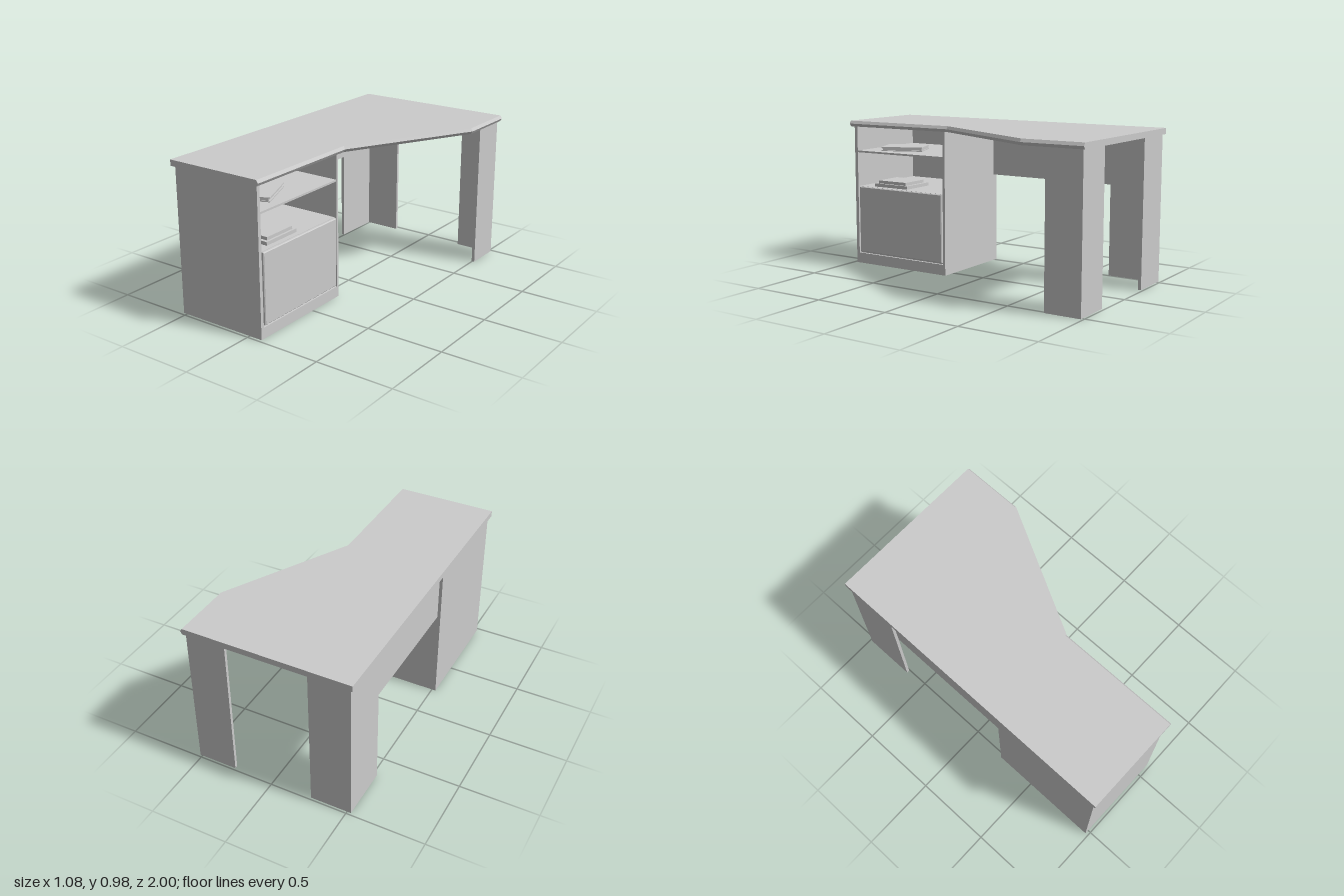
import * as THREE from 'three';

const mat = new THREE.MeshStandardMaterial({ color: 0xcccccc, side: THREE.DoubleSide });

function add(parent, name, geometry) {
  const mesh = new THREE.Mesh(geometry, mat);
  mesh.name = name;
  parent.add(mesh);
  return mesh;
}

// Box given by its limits on each axis
function slab(parent, name, [x0, x1], [y0, y1], [z0, z1]) {
  const mesh = add(parent, name, new THREE.BoxGeometry(x1 - x0, y1 - y0, z1 - z0));
  mesh.position.set((x0 + x1) / 2, (y0 + y1) / 2, (z0 + z1) / 2);
  return mesh;
}

// Worktop outline; the nose along the user's side comes to a point at mid height
function worktopGeometry(y0, y1) {
  const inset = 0.012;
  const outline = (d) => [
    [-0.542, 1], [0.117 - d, 1], [0.117 - d, 0.2 - d * 0.25],
    [0.54 - d, -0.6 - d * 0.25], [0.54 - d, -1], [-0.542, -1],
  ];
  const rings = [[y0, inset], [(y0 + y1) / 2, 0], [y1, inset]]
    .map(([y, d]) => outline(d).map(([x, z]) => [x, y, z]));
  const pos = [];
  const tri = (...points) => points.forEach((p) => pos.push(...p));
  const n = rings[0].length;
  for (let r = 0; r < 2; r++) {
    for (let i = 0; i < n; i++) {
      const j = (i + 1) % n;
      const [a, b, c, d] = [rings[r][i], rings[r][j], rings[r + 1][j], rings[r + 1][i]];
      tri(a, b, c);
      tri(a, c, d);
    }
  }
  const flat = outline(inset).map(([x, z]) => new THREE.Vector2(x, -z));
  for (const [a, b, c] of THREE.ShapeUtils.triangulateShape(flat, [])) {
    tri(rings[2][a], rings[2][b], rings[2][c]);
    tri(rings[0][a], rings[0][c], rings[0][b]);
  }
  const g = new THREE.BufferGeometry();
  g.setAttribute('position', new THREE.Float32BufferAttribute(pos, 3));
  g.computeVertexNormals();
  return g;
}

// Door leaf with a small chamfer round its face
function doorGeometry(width, height) {
  const c = 0.005;
  const s = new THREE.Shape();
  const w = width / 2 - c, h = height / 2 - c;
  s.moveTo(-w, -h).lineTo(w, -h).lineTo(w, h).lineTo(-w, h).closePath();
  return new THREE.ExtrudeGeometry(s, {
    depth: 0.012, bevelThickness: c, bevelSize: c, bevelSegments: 1,
  }).rotateY(Math.PI / 2);
}

// Flat bow handle, drawn in plan and extruded upward
function handleGeometry() {
  const s = new THREE.Shape();
  s.moveTo(-0.095, 0).lineTo(-0.055, 0.026).lineTo(0.055, 0.026).lineTo(0.095, 0);
  s.lineTo(0.08, 0).lineTo(0.05, 0.017).lineTo(-0.05, 0.017).lineTo(-0.08, 0).closePath();
  return new THREE.ExtrudeGeometry(s, { depth: 0.009, bevelEnabled: false })
    .rotateX(-Math.PI / 2).rotateY(Math.PI / 2);
}

export function createModel() {
  const desk = new THREE.Group();
  desk.name = 'desk';
  const under = 0.937;
  add(desk, 'worktop', worktopGeometry(under, 0.975));

  // Cabinet, open toward +x
  const cabinet = new THREE.Group();
  cabinet.name = 'cabinet';
  desk.add(cabinet);
  const inner = [0.252, 0.957];
  slab(cabinet, 'frontSidePanel', [-0.52, 0.09], [0, under], [inner[1], 0.98]);
  slab(cabinet, 'rearSidePanel', [-0.52, 0.09], [0, under], [0.235, inner[0]]);
  slab(cabinet, 'backPanel', [-0.525, -0.52], [0, under], [0.235, 0.98]);
  slab(cabinet, 'plinth', [-0.52, 0.09], [0, 0.07], inner);
  slab(cabinet, 'lowerBox', [-0.52, 0.075], [0.07, 0.53], inner);
  slab(cabinet, 'shelf', [-0.52, 0.088], [0.762, 0.774], inner);

  const door = add(cabinet, 'door', doorGeometry(0.685, 0.45));
  door.position.set(0.078, 0.305, 0.603);
  const handle = add(cabinet, 'doorHandle', handleGeometry());
  handle.position.set(0.094, 0.438, 0.606);
  handle.rotation.x = 0;

  // Stacked trays in the niche
  slab(cabinet, 'lowerTray', [-0.2, 0.04], [0.53, 0.552], [0.58, 0.852]);
  slab(cabinet, 'upperTray', [-0.17, 0.025], [0.552, 0.572], [0.602, 0.83]);

  // Book lying askew on the shelf: two covers and a page block
  const book = new THREE.Group();
  book.name = 'book';
  book.position.set(-0.118, 0.774, 0.71);
  book.rotation.y = 0.4;
  cabinet.add(book);
  slab(book, 'lowerCover', [-0.1, 0.1], [0, 0.006], [-0.14, 0.14]);
  slab(book, 'pages', [-0.1, 0.09], [0.006, 0.022], [-0.135, 0.135]);
  slab(book, 'upperCover', [-0.1, 0.1], [0.022, 0.028], [-0.14, 0.14]);

  // L-shaped legs at the back: one plate along x, one along z
  const t = 0.02, back = -0.985;
  slab(desk, 'cornerLegBack', [-0.525, -0.262], [0, under], [back, back + t]);
  slab(desk, 'cornerLegSide', [-0.525, -0.525 + t], [0, under], [back + t, -0.645]);
  slab(desk, 'outerLegBack', [0.262, 0.515], [0, under], [back, back + t]);
  slab(desk, 'outerLegSide', [0.515 - t, 0.515], [0, under], [back + t, -0.75]);

  // Modesty panel between the cabinet and the corner leg
  slab(desk, 'modestyPanel', [-0.505, -0.485], [0.6, under], [back + t, 0.235]);
  return desk;
}
